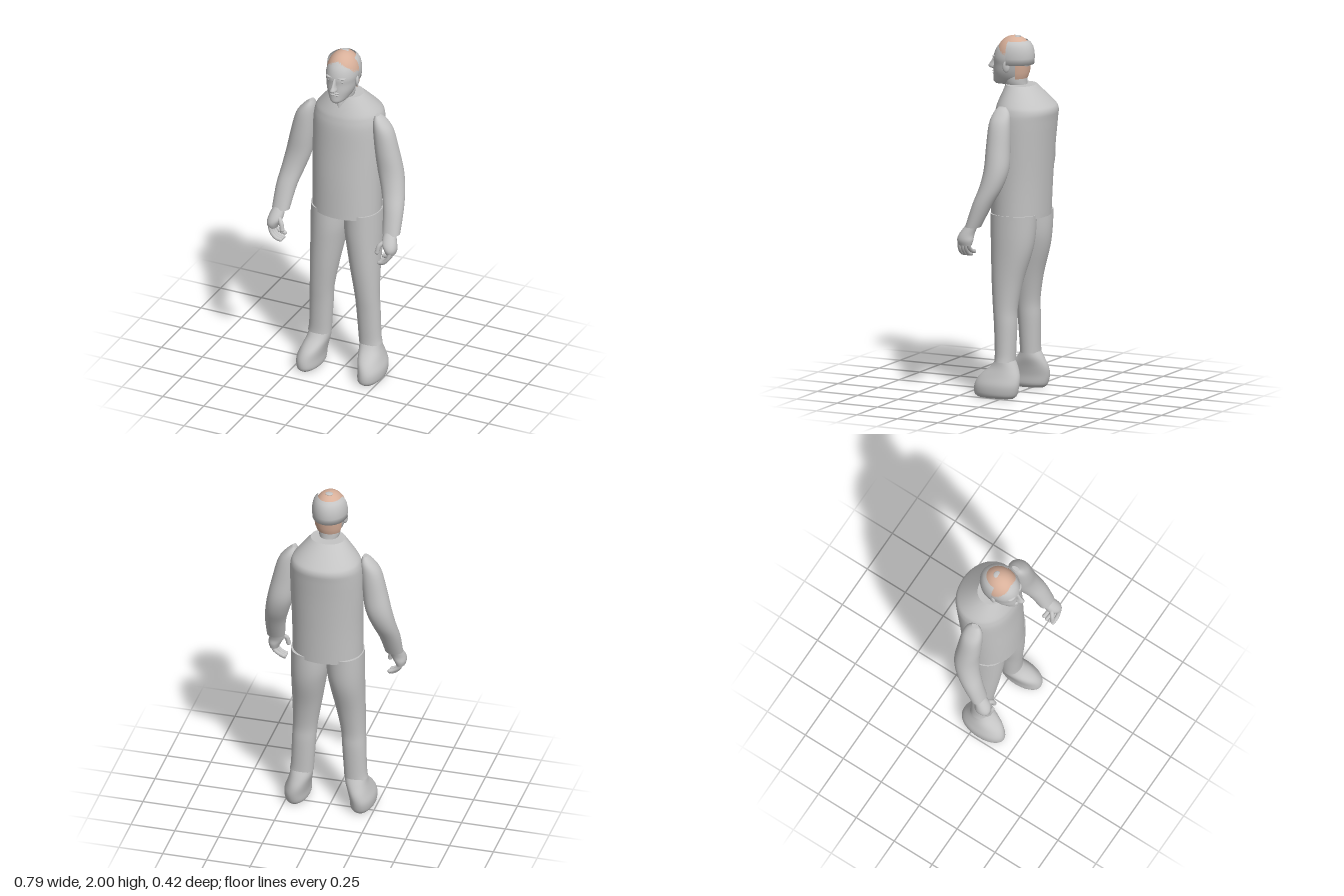
import * as THREE from 'three';

const grey = new THREE.MeshStandardMaterial({ color: 0xc4c4c4, side: THREE.DoubleSide });
grey.name = 'grey';
const peach = new THREE.MeshStandardMaterial({ color: 0xd8b09a, side: THREE.DoubleSide });
peach.name = 'peach';

const MID = 0.009; // body centre line

// Smooth closed body through rings [y, x0, x1, z0, z1], listed from the bottom up
function loft(rings, { side = 1, shift = MID, n = 36, steps = 4, power = 2.1 } = {}) {
  const rows = [];
  const R = (i) => rings[Math.max(0, Math.min(rings.length - 1, i))];
  for (let i = 0; i < rings.length - 1; i++) {
    const last = i === rings.length - 2 ? 1 : 0;
    for (let s = 0; s < steps + last; s++) {
      const t = s / steps;
      rows.push(R(i).map((b, k) => {
        const a = R(i - 1)[k], c = R(i + 1)[k], d = R(i + 2)[k];
        return b + 0.5 * t * (c - a + t * (2 * a - 5 * b + 4 * c - d + t * (3 * (b - c) + d - a)));
      }));
    }
  }
  const pos = [], idx = [];
  const bend = (v) => Math.sign(v) * Math.abs(v) ** (2 / power);
  const addRow = ([y, x0, x1, z0, z1]) => {
    for (let j = 0; j < n; j++) {
      const a = (j / n) * Math.PI * 2;
      pos.push(shift + side * (x0 + x1) / 2 + bend(Math.cos(a)) * (x1 - x0) / 2, y,
        (z0 + z1) / 2 + bend(Math.sin(a)) * (z1 - z0) / 2);
    }
  };
  rows.forEach(addRow);
  for (let i = 0; i < rows.length - 1; i++) {
    for (let j = 0; j < n; j++) {
      const p = i * n + j, q = i * n + (j + 1) % n;
      idx.push(p, p + n, q, q, p + n, q + n);
    }
  }
  // flat ends with their own vertices
  for (const [row, up] of [[rows[0], false], [rows[rows.length - 1], true]]) {
    const base = pos.length / 3;
    addRow(row);
    pos.push(shift + side * (row[1] + row[2]) / 2, row[0], (row[3] + row[4]) / 2);
    for (let j = 0; j < n; j++) {
      const p = base + j, q = base + (j + 1) % n;
      idx.push(base + n, up ? q : p, up ? p : q);
    }
  }
  const g = new THREE.BufferGeometry();
  g.setAttribute('position', new THREE.Float32BufferAttribute(pos, 3));
  g.setIndex(idx);
  g.computeVertexNormals();
  return g;
}

function add(parent, name, geometry, material = grey) {
  const mesh = new THREE.Mesh(geometry, material);
  mesh.name = name;
  parent.add(mesh);
  return mesh;
}

function blob(parent, name, [x, y, z], [rx, ry, rz]) {
  const mesh = add(parent, name, new THREE.SphereGeometry(1, 20, 14));
  mesh.position.set(x, y, z);
  mesh.scale.set(rx, ry, rz);
  return mesh;
}

// Tapered finger with a rounded tip
function finger(parent, name, points, r) {
  const v = points.map((p) => new THREE.Vector3(...p));
  add(parent, name, new THREE.TubeGeometry(new THREE.CatmullRomCurve3(v), 10, r, 10));
  blob(parent, name + 'Tip', points[points.length - 1], [r, r, r]);
}

// Part of a shell turned round the y axis, profile given as [radius, y]
function shell(profile, start, length, sx, sz, z) {
  const g = new THREE.LatheGeometry(profile.map((p) => new THREE.Vector2(...p)), 32, start, length);
  return g.scale(sx, 1, sz).translate(MID, 0, z);
}

// Hair over the crown: an ellipsoid cap with a ragged, receding lower edge
function crownHair() {
  const n = 96, m = 10;
  const g = new THREE.SphereGeometry(1, n, m);
  const p = g.attributes.position;
  for (let i = 0; i <= m; i++) {
    for (let j = 0; j <= n; j++) {
      const a = (j / n) * Math.PI * 2, front = Math.max(0, Math.sin(a));
      const jag = 0.07 * Math.abs(((j * 5) % 12) / 6 - 1);
      const edge = 1.42 - 0.62 * front ** 2.5 + jag;
      const t = (i / m) * edge;
      p.setXYZ(i * (n + 1) + j, MID - 0.093 * Math.sin(t) * Math.cos(a),
        1.88 + 0.12 * Math.cos(t), 0.03 + 0.108 * Math.sin(t) * Math.sin(a));
    }
  }
  g.computeVertexNormals();
  return g;
}

function buildHead() {
  const head = new THREE.Group();
  head.name = 'head';
  add(head, 'neck', loft([
    [1.66, -0.012, 0.012, 0, 0.096], [1.70, -0.04, 0.04, -0.04, 0.09],
    [1.74, -0.058, 0.058, -0.04, 0.082], [1.79, -0.06, 0.06, -0.04, 0.085]]));
  add(head, 'skull', loft([
    [1.725, -0.025, 0.025, 0.06, 0.145], [1.738, -0.045, 0.045, 0.01, 0.156],
    [1.765, -0.063, 0.063, -0.03, 0.155], [1.80, -0.077, 0.077, -0.045, 0.153],
    [1.84, -0.084, 0.084, -0.06, 0.150], [1.88, -0.089, 0.089, -0.068, 0.150],
    [1.93, -0.079, 0.079, -0.06, 0.132], [1.97, -0.052, 0.052, -0.03, 0.092],
    [1.985, -0.03, 0.03, 0, 0.06]]));
  add(head, 'nose', loft([
    [1.803, -0.012, 0.012, 0.13, 0.163], [1.815, -0.019, 0.019, 0.125, 0.192],
    [1.84, -0.011, 0.011, 0.125, 0.178], [1.88, -0.009, 0.009, 0.12, 0.155]], { n: 18 }));
  for (const y of [1.781, 1.793]) blob(head, 'lip', [MID, y, 0.149], [0.028, 0.006, 0.011]);
  for (const s of [-1, 1]) {
    blob(head, 'eye', [MID + s * 0.034, 1.862, 0.132], [0.017, 0.008, 0.011]);
    blob(head, 'brow', [MID + s * 0.036, 1.882, 0.133], [0.026, 0.006, 0.015]).rotation.y = s * 0.3;
    blob(head, 'ear', [MID + s * 0.086, 1.835, 0.04], [0.01, 0.032, 0.02]).rotation.y = s * 0.3;
  }
  // hair: crown, wrapped back band and nape
  add(head, 'crownHair', crownHair(), peach);
  blob(head, 'baldSpot', [MID, 1.995, 0.012], [0.022, 0.006, 0.018]);
  add(head, 'backBand', shell([[0.78, 1.85], [0.97, 1.845], [1, 1.88], [0.99, 1.91], [0.93, 1.94],
    [0.82, 1.962], [0.68, 1.974]], Math.PI / 2, Math.PI, 0.1, 0.122, 0.038));
  add(head, 'napeHair', shell([[0.8, 1.765], [0.94, 1.8], [1, 1.86]],
    Math.PI - 1.1, 2.2, 0.09, 0.09, 0.03), peach);
  return head;
}

function buildArm(s) {
  const arm = new THREE.Group();
  arm.name = s > 0 ? 'leftArm' : 'rightArm';
  add(arm, 'sleeve', loft([
    [0.975, 0.287, 0.387, 0.075, 0.16], [1.10, 0.268, 0.384, 0.012, 0.122],
    [1.20, 0.238, 0.37, -0.04, 0.088], [1.30, 0.207, 0.352, -0.066, 0.071],
    [1.42, 0.190, 0.325, -0.062, 0.07], [1.54, 0.18, 0.293, -0.055, 0.066],
    [1.60, 0.18, 0.25, -0.042, 0.052], [1.632, 0.19, 0.213, -0.015, 0.03]],
  { side: s, shift: 0.004 }));
  add(arm, 'palm', loft([
    [0.872, 0.335, 0.385, 0.12, 0.195], [0.90, 0.322, 0.393, 0.112, 0.205],
    [0.935, 0.305, 0.388, 0.11, 0.195], [0.99, 0.305, 0.37, 0.09, 0.155]],
  { side: s, shift: 0, n: 24 }));
  for (let i = 0; i < 4; i++) {
    const z = 0.131 + i * 0.019, drop = i === 0 ? 0.016 : 0;
    finger(arm, 'finger', [[s * 0.368, 0.89, z], [s * 0.355, 0.85 + drop / 2, z + 0.004],
      [s * 0.328, 0.822 + drop, z + 0.004], [s * 0.303, 0.814 + drop, z]], 0.0115);
  }
  finger(arm, 'thumb', [[s * 0.325, 0.94, 0.165], [s * 0.3, 0.918, 0.185], [s * 0.29, 0.88, 0.192]], 0.013);
  return arm;
}

function buildLeg(s) {
  const leg = new THREE.Group();
  leg.name = s > 0 ? 'leftLeg' : 'rightLeg';
  add(leg, 'trouserLeg', loft([
    [0.2, 0.089, 0.222, -0.046, 0.067], [0.25, 0.086, 0.215, -0.046, 0.067],
    [0.4, 0.076, 0.21, -0.05, 0.076], [0.5, 0.068, 0.206, -0.05, 0.086],
    [0.65, 0.042, 0.205, -0.078, 0.1], [0.8, 0.015, 0.205, -0.122, 0.11],
    [0.9, 0, 0.205, -0.14, 0.115], [1.02, -0.002, 0.203, -0.148, 0.118]], { side: s }));
  add(leg, 'shoe', loft([
    [0, 0.14, 0.235, -0.055, 0.16], [0.02, 0.12, 0.252, -0.075, 0.18],
    [0.07, 0.117, 0.255, -0.088, 0.178], [0.12, 0.108, 0.238, -0.086, 0.152],
    [0.17, 0.096, 0.222, -0.066, 0.092], [0.21, 0.094, 0.216, -0.044, 0.062]], { side: s }));
  return leg;
}

export function createModel() {
  const model = new THREE.Group();
  model.name = 'standingMan';
  add(model, 'jacket', loft([
    [1.0, -0.197, 0.197, -0.165, 0.145], [1.2, -0.198, 0.198, -0.175, 0.14],
    [1.4, -0.203, 0.203, -0.19, 0.13], [1.54, -0.203, 0.203, -0.205, 0.125],
    [1.6, -0.195, 0.195, -0.21, 0.117], [1.64, -0.173, 0.173, -0.182, 0.106],
    [1.73, -0.096, 0.096, -0.092, 0.07]], { n: 56 }));
  model.add(buildHead());
  for (const s of [1, -1]) model.add(buildArm(s), buildLeg(s));
  return model;
}
